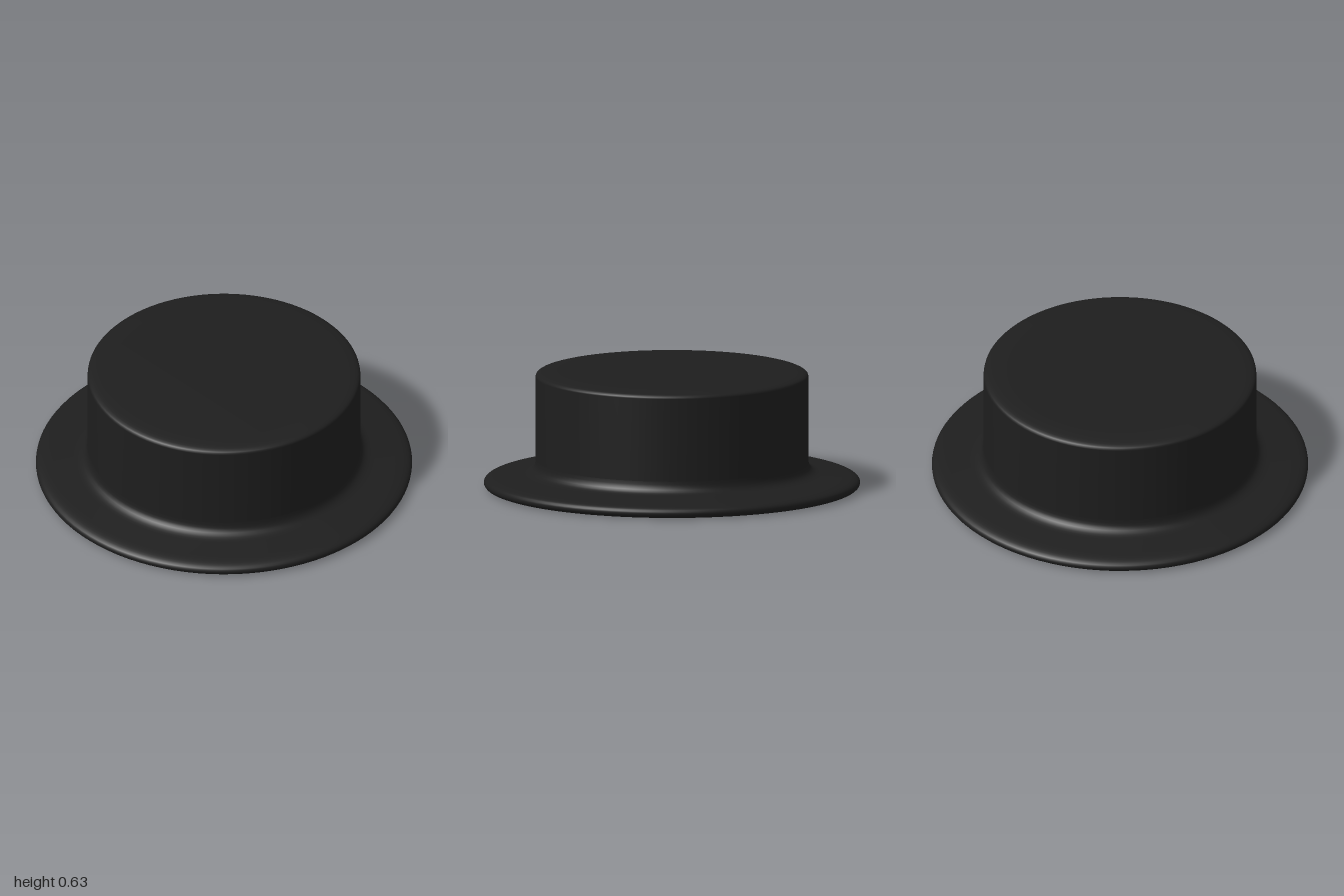
import * as THREE from 'three';

// One closed profile turned about the y axis: lining, brim and crown.
export function createModel() {
  const group = new THREE.Group();
  group.name = 'hat';
  const material = new THREE.MeshStandardMaterial({ color: 0x1e1e1e });

  const turn = (name, draw) => {
    const path = new THREE.Path();
    draw(path);
    const mesh = new THREE.Mesh(new THREE.LatheGeometry(path.getPoints(8), 96), material);
    mesh.name = name;
    group.add(mesh);
  };

  // hollow for the head, from its ceiling down to the rounded opening
  turn('headOpening', (p) => {
    p.moveTo(0, 0.61);
    p.lineTo(0.46, 0.61);
    p.quadraticCurveTo(0.48, 0.61, 0.48, 0.59);
    p.lineTo(0.48, 0.08);
    p.quadraticCurveTo(0.48, 0.005, 0.56, 0.003);
  });

  // flat underside, rounded rim and gently rising top of the brim
  turn('brim', (p) => {
    p.moveTo(0.56, 0.003);
    p.lineTo(0.93, 0.003);
    p.bezierCurveTo(0.975, 0.003, 1, 0.012, 1, 0.035);
    p.bezierCurveTo(1, 0.06, 0.96, 0.068, 0.91, 0.074);
    p.lineTo(0.8, 0.087);
    p.bezierCurveTo(0.75, 0.093, 0.725, 0.11, 0.725, 0.16);
  });

  // straight side and softly rounded flat top
  turn('crown', (p) => {
    p.moveTo(0.725, 0.16);
    p.lineTo(0.725, 0.605);
    p.bezierCurveTo(0.725, 0.628, 0.69, 0.631, 0.6, 0.637);
    p.lineTo(0, 0.637);
  });

  return group;
}
